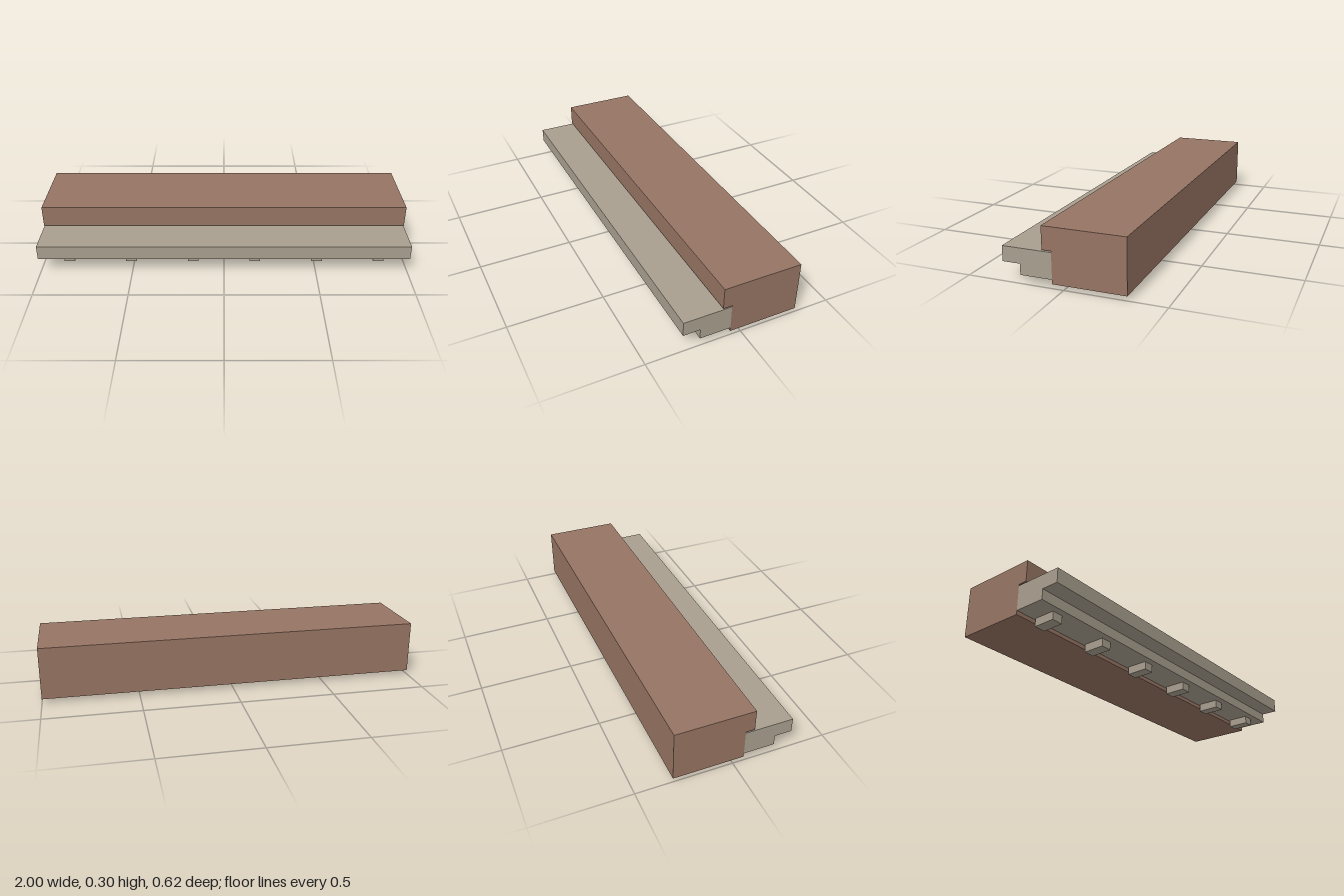
import * as THREE from 'three';

const LENGTH = 2;

// Extrudes a [z, y] profile along the full length in x.
function course(name, points, material) {
  const shape = new THREE.Shape(points.map(([z, y]) => new THREE.Vector2(-z, y)));
  const geometry = new THREE.ExtrudeGeometry(shape, { depth: LENGTH, bevelEnabled: false });
  geometry.translate(0, 0, -LENGTH / 2);
  geometry.rotateY(Math.PI / 2);
  const mesh = new THREE.Mesh(geometry, material);
  mesh.name = name;
  return mesh;
}

export function createModel() {
  const group = new THREE.Group();
  group.name = 'corniceSection';
  const brick = new THREE.MeshStandardMaterial({ color: 0x967463 });
  const stone = new THREE.MeshStandardMaterial({ color: 0xa89e8e });

  // Brick wall with an upper part overhanging the ledge
  group.add(course('brickWall', [
    [-0.31, 0.022], [-0.31, 0.297], [0.104, 0.297],
    [0.104, 0.182], [0.057, 0.182], [0.057, 0.022],
  ], brick));

  // Stepped stone ledge
  group.add(course('stoneLedge', [
    [0.057, 0.043], [0.057, 0.175], [0.31, 0.175],
    [0.31, 0.098], [0.22, 0.098], [0.22, 0.043],
  ], stone));

  // Evenly spaced blocks under the ledge
  const blocks = new THREE.Group();
  blocks.name = 'ledgeBlocks';
  const blockGeometry = new THREE.BoxGeometry(0.06, 0.043, 0.116);
  for (let i = 0; i < 6; i++) {
    const block = new THREE.Mesh(blockGeometry, stone);
    block.name = `ledgeBlock${i + 1}`;
    block.position.set((i - 2.5) * 0.345, 0.0215, 0.126);
    blocks.add(block);
  }
  group.add(blocks);

  return group;
}
